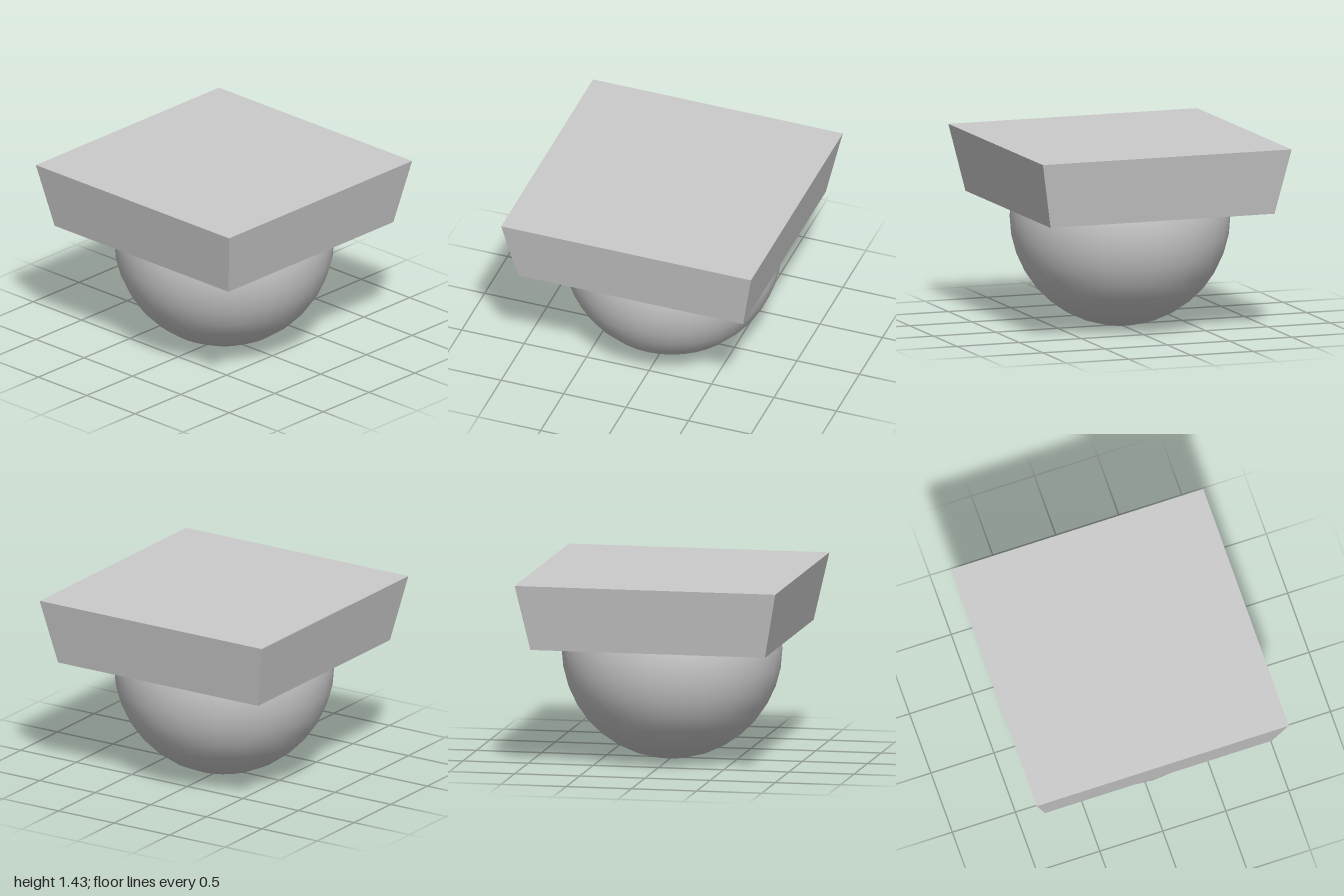
import * as THREE from 'three';

const material = new THREE.MeshStandardMaterial({ color: 0xcccccc, side: THREE.DoubleSide });

function addMesh(group, name, geometry, y) {
  const mesh = new THREE.Mesh(geometry, material);
  mesh.name = name;
  mesh.position.y = y;
  group.add(mesh);
}

// Box whose lower face is narrower than its upper face
function taperedBox(top, bottom, height) {
  const geometry = new THREE.BoxGeometry(top, height, top);
  const p = geometry.attributes.position;
  for (let i = 0; i < p.count; i++) {
    if (p.getY(i) < 0) {
      p.setX(i, Math.sign(p.getX(i)) * bottom / 2);
      p.setZ(i, Math.sign(p.getZ(i)) * bottom / 2);
    }
  }
  geometry.computeVertexNormals();
  return geometry;
}

export function createModel() {
  const group = new THREE.Group();
  group.name = 'domeFixture';

  // Square mounting plate with sloping sides
  addMesh(group, 'mountingPlate', taperedBox(2, 1.8, 0.5), 1.18);

  // Dome: lower part of a sphere, its open rim sunk into the plate
  const rim = Math.PI * 80 / 180;
  const dome = new THREE.SphereGeometry(0.83, 36, 10, 0, Math.PI * 2, rim, Math.PI - rim);
  addMesh(group, 'dome', dome, 0.83);

  return group;
}
